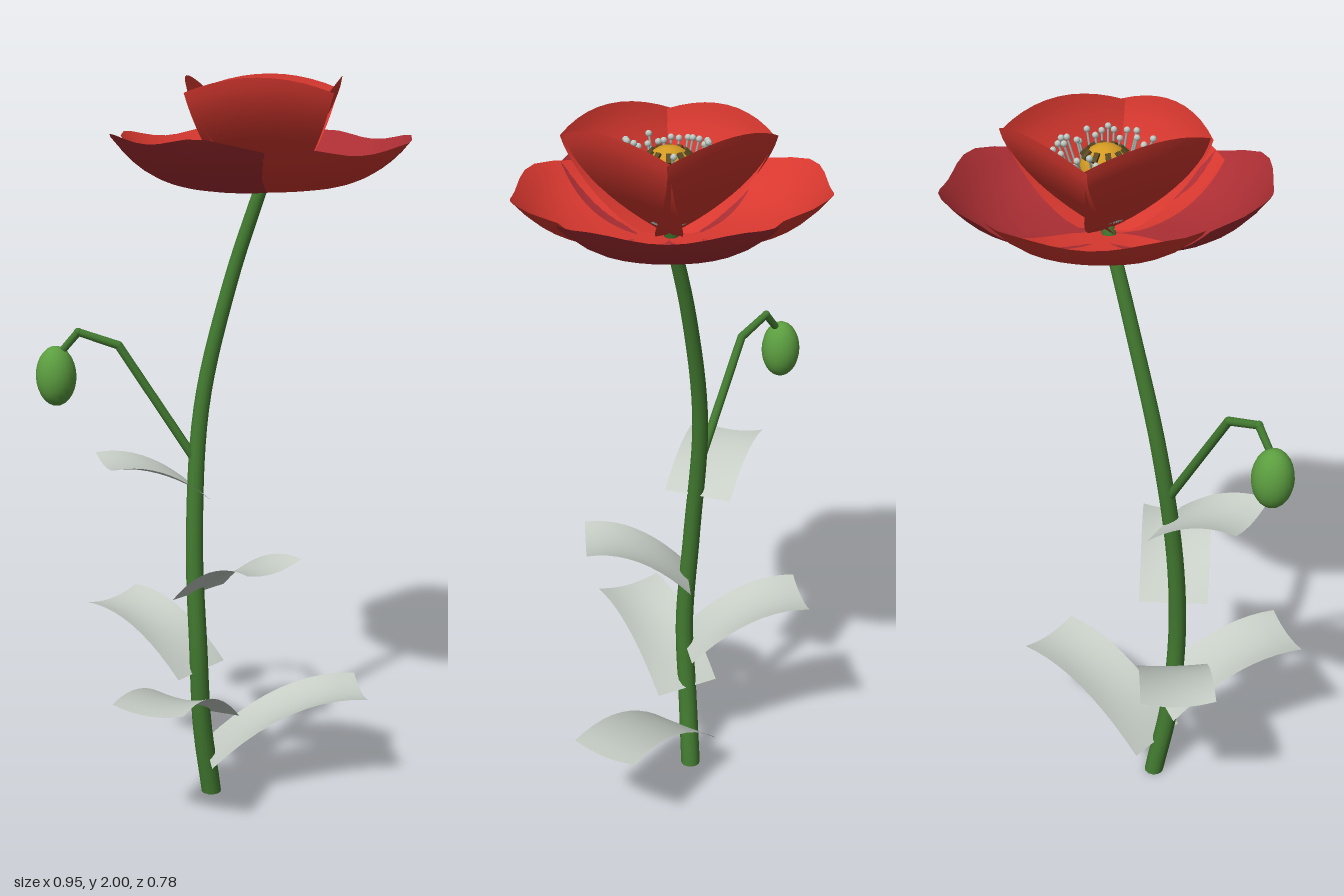
import * as THREE from 'three';

const V = (x, y, z) => new THREE.Vector3(x, y, z);
const UP = V(0, 1, 0);

function mat(name, color, double = false) {
  const m = new THREE.MeshStandardMaterial({ color });
  m.name = name;
  if (double) m.side = THREE.DoubleSide;
  return m;
}

// Open sheet from a rule: u runs across (-1..1), t runs along (0..1)
function sheet(nu, nt, rule) {
  const pos = [], idx = [];
  for (let j = 0; j <= nt; j++)
    for (let i = 0; i <= nu; i++) pos.push(...rule((i / nu) * 2 - 1, j / nt));
  for (let j = 0; j < nt; j++)
    for (let i = 0; i < nu; i++) {
      const a = j * (nu + 1) + i, b = a + nu + 1;
      idx.push(a, a + 1, b, a + 1, b + 1, b);
    }
  const g = new THREE.BufferGeometry();
  g.setAttribute('position', new THREE.Float32BufferAttribute(pos, 3));
  g.setIndex(idx);
  g.computeVertexNormals();
  return g;
}

// Tapered rod between two points
function rod(a, b, ra, rb, material, sides = 10) {
  const d = b.clone().sub(a);
  const m = new THREE.Mesh(new THREE.CylinderGeometry(rb, ra, d.length(), sides), material);
  m.position.copy(a).add(b).multiplyScalar(0.5);
  m.quaternion.setFromUnitVectors(UP, d.normalize());
  return m;
}

export function createModel() {
  const root = new THREE.Group();
  const red = mat('petal red', 0xd8382f, true);
  const crimson = mat('petal crimson', 0xaa2e33, true);
  const stemGreen = mat('stem green', 0x427a30);
  const budGreen = mat('bud green', 0x5c9e40);
  const leafGrey = mat('pale leaf', 0xc6cec6, true);
  const gold = mat('pod gold', 0xd49a22);
  const brown = mat('ray brown', 0x5c4a24);
  const filamentGrey = mat('filament grey', 0x9dada7);
  const antherGrey = mat('anther grey', 0xc0cbc5);

  const add = (name, obj, parent = root) => {
    obj.name = name;
    parent.add(obj);
    return obj;
  };

  // Curved, tapering stem with a flat foot
  const curve = new THREE.CatmullRomCurve3([
    V(-0.06, 0.005, -0.045), V(-0.1, 0.22, -0.035), V(-0.12, 0.46, -0.025), V(-0.115, 0.76, -0.045),
    V(-0.07, 1.13, -0.066), V(0.005, 1.46, -0.035), V(0.078, 1.73, 0.015),
  ]);
  const n = 36, sides = 12;
  const stemGeo = new THREE.TubeGeometry(curve, n, 0.028, sides);
  const p = stemGeo.attributes.position;
  for (let k = 0; k < p.count; k++) {
    const t = Math.floor(k / (sides + 1)) / n;
    const v = V().fromBufferAttribute(p, k).lerp(curve.getPointAt(t), 0.36 * t);
    p.setXYZ(k, v.x, t === 0 ? 0 : v.y, v.z);
  }
  add('stem', new THREE.Mesh(stemGeo, stemGreen));
  const foot = add('stemFoot', new THREE.Mesh(new THREE.CircleGeometry(0.028, 24), stemGreen));
  foot.rotation.x = Math.PI / 2;
  foot.position.set(-0.06, 0, -0.045);

  // Arched, troughed leaves: base on the stem, middle of the tip
  const leaves = [
    [V(-0.07, 0.115, -0.045), V(0.3, 0.3, 0.19)],
    [V(-0.08, 0.255, -0.035), V(-0.427, 0.415, 0.153)],
    [V(-0.105, 0.385, -0.03), V(-0.168, 0.535, -0.367)],
    [V(-0.11, 0.615, -0.035), V(-0.085, 0.755, 0.255)],
    [V(-0.085, 0.895, -0.06), V(-0.33, 1.0, -0.152)],
  ];
  leaves.forEach(([a, b], i) => {
    const side = V(b.z - a.z, 0, a.x - b.x).normalize();
    const geo = sheet(8, 10, (u, t) => {
      const c = a.clone().lerp(b, t).addScaledVector(side, u * (0.096 + 0.005 * t));
      const rise = 2.25 * t - 1.25 * t * t;
      const trough = (1 - u * u) * (0.016 * t + 0.01 * Math.sin(Math.PI * t));
      return [c.x, a.y + (b.y - a.y) * rise - trough, c.z];
    });
    add('leaf' + (i + 1), new THREE.Mesh(geo, leafGrey));
  });

  // Drooping bud on a bent stalk
  const bud = add('budBranch', new THREE.Group());
  const path = [V(-0.095, 0.98, -0.062), V(-0.26, 1.3, -0.18), V(-0.34, 1.335, -0.25), V(-0.38, 1.27, -0.29)];
  for (let i = 0; i < 3; i++) {
    add('budStalk', rod(path[i], path[i + 1], 0.0125 - i * 0.001, 0.0115 - i * 0.001, stemGreen), bud);
    const joint = add('stalkJoint', new THREE.Mesh(new THREE.SphereGeometry(0.0115, 10, 8), stemGreen), bud);
    joint.position.copy(path[i + 1]);
  }
  const budBall = add('bud', new THREE.Mesh(new THREE.SphereGeometry(0.054, 20, 14), budGreen), bud);
  budBall.scale.y = 1.5;
  budBall.position.set(-0.383, 1.215, -0.296);

  // Flower head
  const flower = add('flower', new THREE.Group());
  flower.position.set(0.078, 0, 0.015);

  // Wide outer petals, flat near the middle with a raised lip: angle, length, lift, colour
  const outer = [
    [0.0, 0.397, 0, crimson], [Math.PI + 0.09, 0.41, 0.004, crimson],
    [Math.PI / 2 + 0.06, 0.393, 0.012, red], [-Math.PI / 2 - 0.04, 0.38, 0.012, red],
  ];
  outer.forEach(([angle, len, lift, material]) => {
    const geo = sheet(12, 12, (u, t) => {
      const s = len * t * (1 - 0.36 * u ** 4);
      const w = u * (0.03 + 0.23 * t ** 0.6);
      const r = Math.hypot(s, w);
      return [s, 1.702 + lift * t + 0.12 * (r / 0.4) ** 4 + 0.03 * u ** 4 * t, w];
    });
    add('outerPetal', new THREE.Mesh(geo, material), flower).rotation.y = angle;
  });

  // Broad inner petals forming a cup, their sides overlapping
  for (let i = 0; i < 4; i++) {
    const k = i % 2 ? 0.97 : 1.03;
    const geo = sheet(10, 12, (u, t) => {
      const s = 0.208 * k * (1 - (1 - t) ** 1.5) * (1 - 0.14 * u * u);
      return [s, 1.71 + 0.285 * t ** 1.1 - 0.038 * u * u * t, u * 0.187 * t ** 0.4];
    });
    add('innerPetal', new THREE.Mesh(geo, red), flower).rotation.y = Math.PI / 4 + i * Math.PI / 2;
  }

  // Seed pod with dark rays on its crown
  const pod = add('seedPod', new THREE.Mesh(new THREE.SphereGeometry(0.065, 24, 14), gold), flower);
  pod.position.y = 1.868;
  for (let i = 0; i < 10; i++) {
    const pivot = add('podRay', new THREE.Group(), flower);
    pivot.rotation.y = (i / 10) * Math.PI * 2;
    const ray = add('rayBar', new THREE.Mesh(new THREE.BoxGeometry(0.026, 0.009, 0.013), brown), pivot);
    ray.position.set(0.05, 1.913, 0);
    ray.rotation.z = -0.75;
  }

  // Ring of stamens of uneven length
  let seed = 7;
  const rnd = () => (seed = (seed * 16807) % 2147483647) / 2147483647;
  const stamens = add('stamens', new THREE.Group(), flower);
  const antherGeo = new THREE.SphereGeometry(0.0085, 8, 6);
  for (let i = 0; i < 40; i++) {
    const a = ((i + 0.5 * rnd()) / 40) * Math.PI * 2, r = 0.1 + 0.032 * rnd();
    const tip = V(Math.cos(a) * r, 1.9 + 0.035 * rnd(), Math.sin(a) * r);
    const base = V(Math.cos(a) * 0.045, 1.745, Math.sin(a) * 0.045);
    add('filament', rod(base, tip, 0.0032, 0.0032, filamentGrey, 5), stamens);
    add('anther', new THREE.Mesh(antherGeo, antherGrey), stamens).position.copy(tip);
  }

  return root;
}
